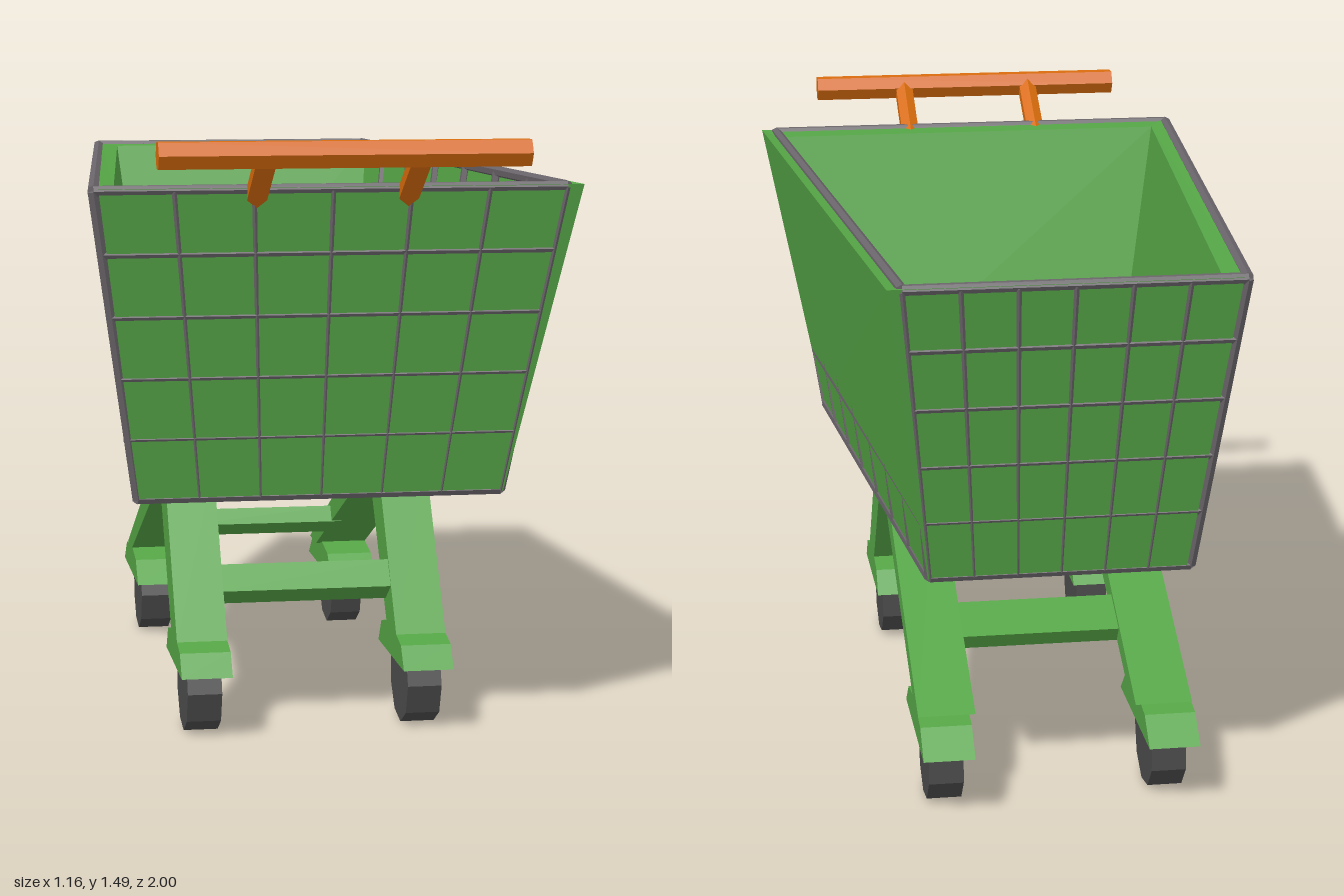
import * as THREE from 'three';

const CX = -0.018; // centre line of the frame, wires and handle
const paint = (color, side = THREE.FrontSide) =>
  new THREE.MeshStandardMaterial({ color, flatShading: true, side });
const V = (x, y, z) => new THREE.Vector3(x, y, z);

// Closed skin through equal-sized corner loops, capped at both ends
function loft(loops) {
  const n = loops[0].length, pos = loops.flat(2), index = [];
  for (let k = 0; k < loops.length - 1; k++) {
    for (let i = 0; i < n; i++) {
      const j = (i + 1) % n, a = k * n, b = a + n;
      index.push(a + i, a + j, b + j, a + i, b + j, b + i);
    }
  }
  const last = (loops.length - 1) * n;
  for (let i = 1; i < n - 1; i++) index.push(0, i + 1, i, last, last + i, last + i + 1);
  const geo = new THREE.BufferGeometry();
  geo.setAttribute('position', new THREE.Float32BufferAttribute(pos, 3));
  geo.setIndex(index);
  const flat = geo.toNonIndexed();
  flat.computeVertexNormals();
  return flat;
}

// Side profile given as [z, y], extruded across x
function slab(profile, x, width) {
  const shape = new THREE.Shape(profile.map(([z, y]) => new THREE.Vector2(z, y)));
  const geo = new THREE.ExtrudeGeometry(shape, { depth: width, bevelEnabled: false });
  return geo.rotateY(-Math.PI / 2).translate(x + width / 2, 0, 0);
}

// Straight rod between two points
function rod(a, b, radius, sides) {
  const dir = b.clone().sub(a);
  const geo = new THREE.CylinderGeometry(radius, radius, dir.length(), sides);
  geo.applyQuaternion(new THREE.Quaternion().setFromUnitVectors(V(0, 1, 0), dir.normalize()));
  const mid = a.clone().add(b).multiplyScalar(0.5);
  return geo.translate(mid.x, mid.y, mid.z);
}

export function createModel() {
  const model = new THREE.Group();
  const green = paint(0x55a546), orange = paint(0xd96c0c);
  const dark = paint(0x4c4c4c), steel = paint(0x6a656a);
  const add = (name, geo, mat, parent = model) => {
    const mesh = new THREE.Mesh(geo, mat);
    mesh.name = name;
    parent.add(mesh);
    return mesh;
  };

  // Basket: outer bottom, outer rim, inner rim, inner floor
  add('basket', loft([
    [[-0.458, 0.615, 0.64], [0.43, 0.615, 0.64], [0.3, 0.615, -0.81], [-0.32, 0.615, -0.81]],
    [[-0.562, 1.37, 0.81], [0.576, 1.37, 0.81], [0.407, 1.37, -1], [-0.398, 1.37, -1]],
    [[-0.52, 1.365, 0.73], [0.535, 1.365, 0.73], [0.375, 1.365, -0.94], [-0.358, 1.365, -0.94]],
    [[-0.385, 0.65, 0.5], [0.375, 0.65, 0.5], [0.285, 0.65, -0.66], [-0.305, 0.65, -0.66]],
  ]), green);

  // Wire mesh lying in the basket walls and floor
  const wires = new THREE.Group();
  wires.name = 'wireMesh';
  model.add(wires);
  const R = 0.014;
  const corner = (sx, front, t) => {
    const half = front ? 0.442 + 0.113 * t : 0.312 + 0.078 * t;
    const z = front ? 0.628 + 0.17 * t : -0.798 - 0.19 * t;
    return V(CX + sx * half, 0.618 + 0.747 * t, z);
  };
  const wire = (a, b) => add('wire', rod(a, b, R, 6), steel, wires);
  // Grid on a quad: a-b is the lower edge, c-d the upper edge
  const grid = (a, b, c, d, columns, rows) => {
    for (let i = 0; i <= columns; i++) {
      wire(a.clone().lerp(b, i / columns), c.clone().lerp(d, i / columns));
    }
    for (let j = 0; j <= rows; j++) {
      wire(a.clone().lerp(c, j / rows), b.clone().lerp(d, j / rows));
    }
  };
  for (const sx of [-1, 1]) {
    grid(corner(sx, true, 0), corner(sx, false, 0), corner(sx, true, 1), corner(sx, false, 1), 7, 5);
  }
  for (const front of [true, false]) {
    grid(corner(-1, front, 0), corner(1, front, 0), corner(-1, front, 1), corner(1, front, 1), 6, 5);
  }
  grid(corner(-1, true, 0), corner(1, true, 0), corner(-1, false, 0), corner(1, false, 0), 6, 7);

  // Legs, feet and wheels on each side
  for (const s of [-1, 1]) {
    const x = CX + s * 0.274;
    add('frontLeg', slab([[0.25, 0.62], [0.51, 0.23], [0.385, 0.23], [0.1, 0.62]], x, 0.125), green);
    add('rearLeg', slab([[0.16, 0.585], [0.14, 0.625], [0.05, 0.615], [-0.74, 0.235], [-0.63, 0.235]],
      CX + s * 0.267, 0.14), green);
    add('frontFoot', slab([[0.61, 0.165], [0.57, 0.22], [0.5, 0.235], [0.42, 0.25],
      [0.31, 0.225], [0.27, 0.165]], x, 0.125), green);
    add('rearFoot', slab([[-0.46, 0.165], [-0.52, 0.225], [-0.64, 0.245], [-0.78, 0.225],
      [-0.85, 0.165]], x, 0.125), green);
    for (const z of [0.447, -0.67]) {
      const wheel = add('wheel', new THREE.CylinderGeometry(0.115, 0.115, 0.085, 9), dark);
      wheel.rotation.z = Math.PI / 2;
      wheel.position.set(x, 0.113, z);
    }
  }

  // Cross bars between the legs
  add('frontCrossBar', slab([[0.39, 0.4], [0.433, 0.34], [0.366, 0.295], [0.323, 0.355]], CX, 0.45), green);
  add('rearCrossBar', slab([[-0.39, 0.39], [-0.5, 0.34], [-0.475, 0.3], [-0.365, 0.35]], CX, 0.45), green);

  // Push handle on two posts
  add('handleBar', rod(V(CX - 0.425, 1.455, 0.965), V(CX + 0.425, 1.455, 0.965), 0.035, 6), orange);
  for (const s of [-1, 1]) {
    const x = CX + s * 0.178;
    add('handlePost', rod(V(x, 1.345, 0.785), V(x, 1.45, 0.955), 0.027, 6), orange);
  }
  return model;
}
